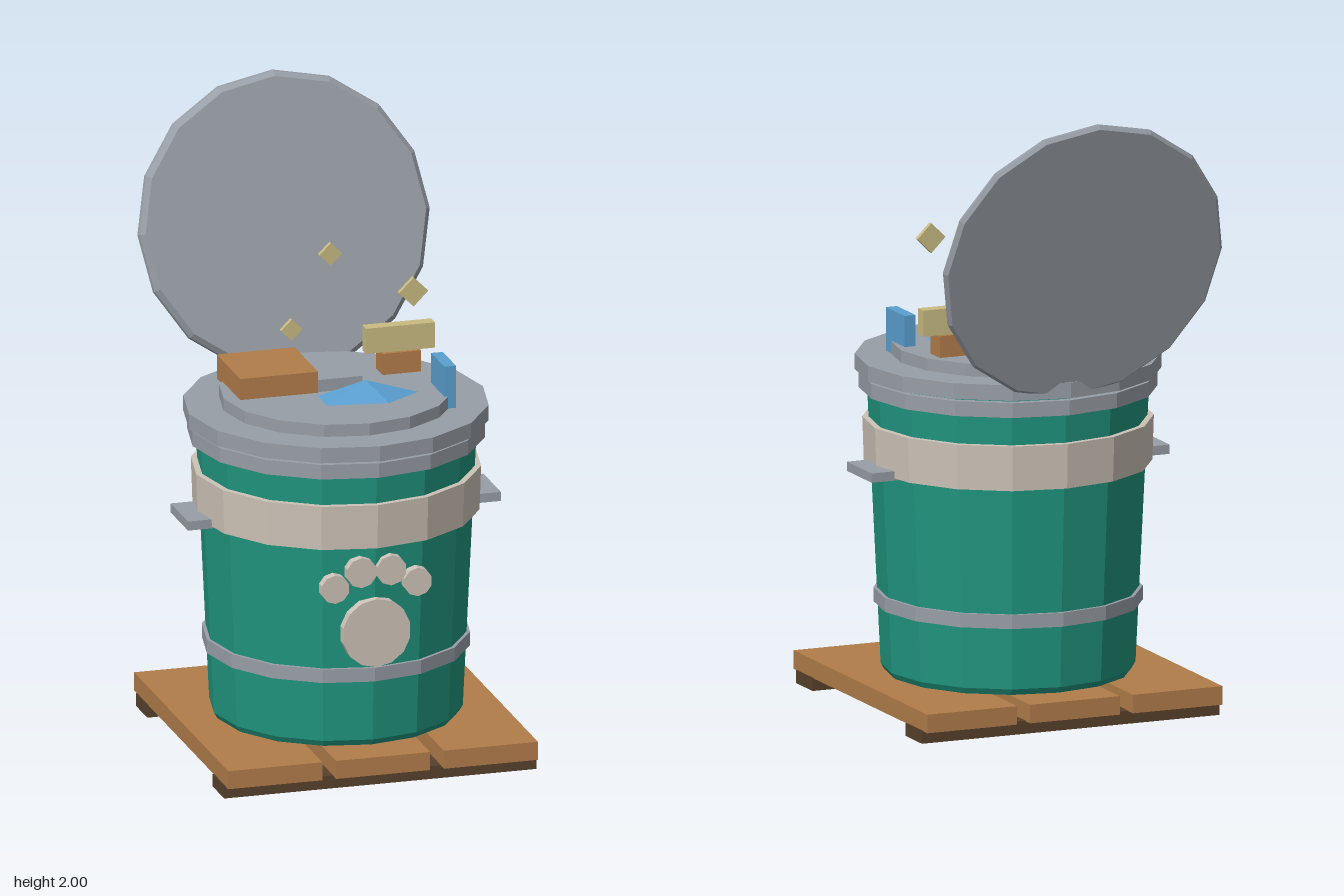
import * as THREE from 'three';

const paint = (name, color) => {
  const m = new THREE.MeshStandardMaterial({ color, flatShading: true });
  m.name = name;
  return m;
};

export function createModel() {
  const teal = paint('teal', 0x20957f);
  const gray = paint('metal gray', 0x989ea6);
  const beige = paint('beige', 0xcdc3b7);
  const wood = paint('wood', 0xb27d4a);
  const darkWood = paint('dark wood', 0x58412c);
  const blue = paint('blue', 0x5a9fd0);
  const straw = paint('straw yellow', 0xc9bb82);

  const SIDES = 16;
  const CZ = 0.097; // the bin stands slightly forward of centre
  const model = new THREE.Group();
  model.name = 'openBin';

  const add = (name, geometry, material, x = 0, y = 0, z = 0) => {
    const mesh = new THREE.Mesh(geometry, material);
    mesh.name = name;
    mesh.position.set(x, y, z);
    model.add(mesh);
    return mesh;
  };
  // box from its extents on each axis
  const box = (name, material, [x0, x1], [y0, y1], [z0, z1]) =>
    add(name, new THREE.BoxGeometry(x1 - x0, y1 - y0, z1 - z0), material,
      (x0 + x1) / 2, (y0 + y1) / 2, (z0 + z1) / 2);
  // faceted ring or disc around the bin axis
  const drum = (name, material, y0, y1, rBottom, rTop = rBottom) =>
    add(name, new THREE.CylinderGeometry(rTop, rBottom, y1 - y0, SIDES), material,
      0, (y0 + y1) / 2, CZ);
  const lathe = (points) =>
    new THREE.LatheGeometry(points.map(([r, y]) => new THREE.Vector2(r, y)), SIDES);

  // pallet
  for (const x of [-0.355, 0, 0.355]) {
    box('palletPlank', wood, [x - 0.155, x + 0.155], [0.04, 0.1], [-0.418, 0.613]);
  }
  for (const z of [-0.322, 0.52]) {
    box('palletRunner', darkWood, [-0.514, 0.514], [0, 0.042], [z - 0.063, z + 0.063]);
  }

  // tapered body with a chamfered foot
  add('binBody', lathe([[0, 0.1], [0.39, 0.1], [0.402, 0.12], [0.448, 1.08], [0, 1.08]]),
    teal, 0, 0, CZ);

  // hoops, band and rim
  drum('lowerHoop', gray, 0.32, 0.365, 0.425);
  drum('band', beige, 0.772, 0.917, 0.455, 0.46);
  drum('upperHoop', gray, 1.012, 1.06, 0.472);
  drum('rim', gray, 1.07, 1.12, 0.484);
  drum('innerCover', gray, 1.12, 1.16, 0.37);

  // side handles
  for (const s of [-1, 1]) {
    add('handle', new THREE.BoxGeometry(0.1, 0.03, 0.19), gray, s * 0.465, 0.78, 0.095);
  }

  // paw emblem: pad and four toes
  const disc = (name, x, y, r, sides) => {
    const m = add(name, new THREE.CylinderGeometry(r, r, 0.032, sides), beige, x, y, 0.528);
    m.rotation.x = Math.PI / 2;
  };
  disc('pawPad', 0, 0.488, 0.113, 14);
  for (const s of [-1, 1]) {
    disc('pawToe', s * 0.136, 0.645, 0.047, 10);
    disc('pawToe', s * 0.049, 0.692, 0.05, 10);
  }

  // open lid leaning back
  const lid = add('lid',
    lathe([[0, -0.02], [0.47, -0.02], [0.481, -0.008], [0.478, 0.004], [0.462, 0.02], [0, 0.02]]),
    gray, 0, 1.533, -0.47);
  lid.rotation.x = THREE.MathUtils.degToRad(75);

  // rubbish on the cover
  box('carton', wood, [-0.324, -0.068], [1.15, 1.23], [-0.13, 0.126]);
  box('woodBlock', wood, [0.178, 0.304], [1.15, 1.23], [-0.055, 0.016]);
  box('strawPlank', straw, [0.128, 0.354], [1.23, 1.314], [-0.04, 0.002]);
  box('metalScrap', gray, [-0.07, 0.08], [1.15, 1.2], [0.07, 0.12]);
  box('blueCard', blue, [0.302, 0.34], [1.12, 1.26], [0.136, 0.28]);
  const sheet = add('crumpledSheet',
    new THREE.ConeGeometry(1, 0.06, 5, 1, false, Math.PI / 2), blue, 0.063, 1.186, 0.208);
  sheet.scale.set(0.187, 1, 0.092);

  // floating diamond flecks: x, y, z, edge
  for (const [x, y, z, e] of [[0, 1.586, 0.033, 0.053], [0.224, 1.491, 0.195, 0.068],
    [-0.196, 1.425, 0.258, 0.05]]) {
    const fleck = add('fleck', new THREE.BoxGeometry(e, e, 0.016), straw, x, y, z);
    fleck.rotation.z = Math.PI / 4;
  }
  return model;
}
